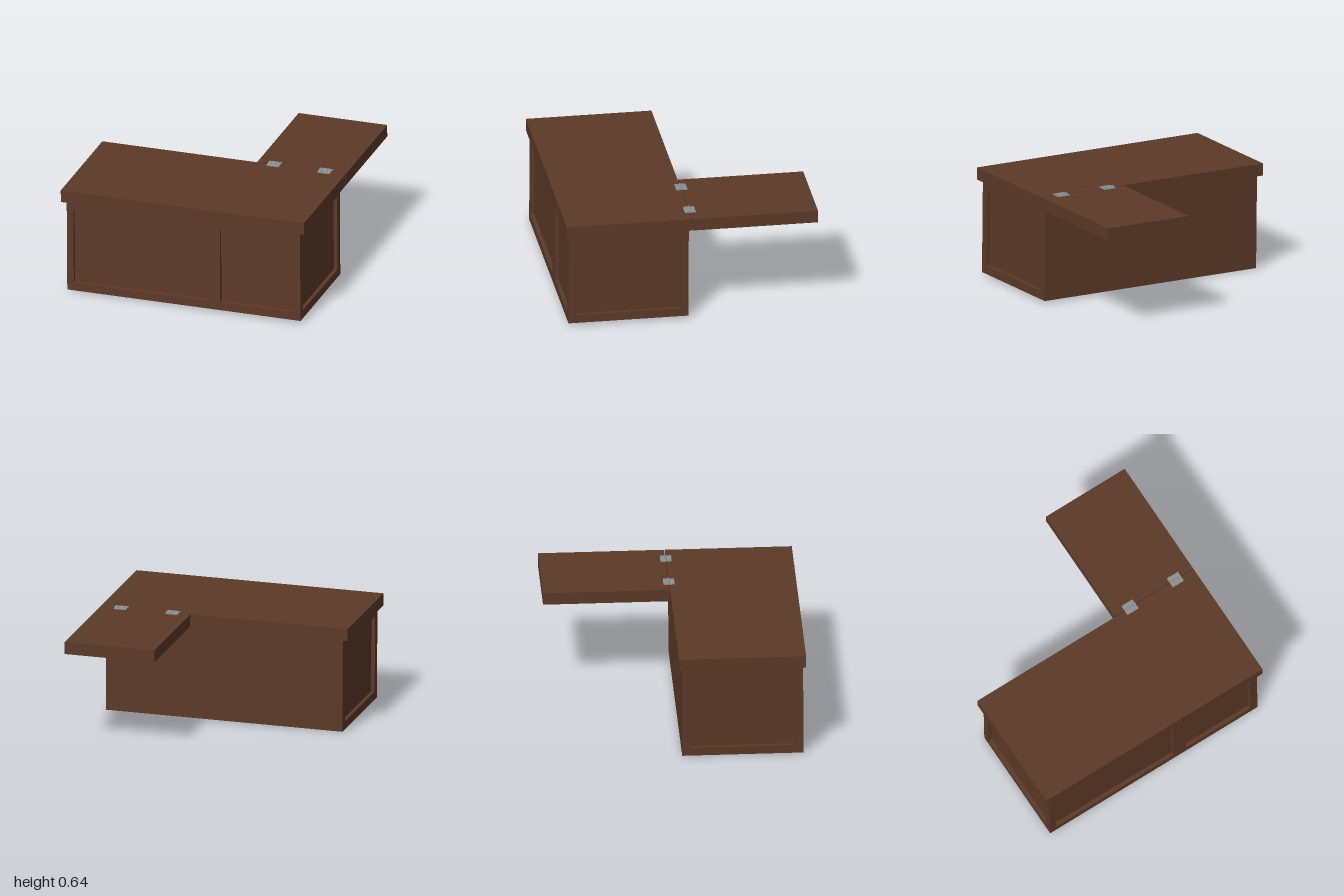
import * as THREE from 'three';

const wood = new THREE.MeshStandardMaterial({ color: 0x5c3a28 });
wood.name = 'brown wood';
const steel = new THREE.MeshStandardMaterial({ color: 0x8c9194 });
steel.name = 'grey steel';

// Cabinet half sizes, heights and panel recess depth
const HW = 0.347, HL = 0.705, BOTTOM = 0.0075, TOP = 0.557, RECESS = 0.022;
const SLAB = 0.072, SLAB_TOP = TOP + SLAB;

function add(parent, name, geometry, material, x = 0, y = 0, z = 0) {
  const mesh = new THREE.Mesh(geometry, material);
  mesh.name = name;
  mesh.position.set(x, y, z);
  parent.add(mesh);
  return mesh;
}

// Box given by its minimum and maximum corners
function block(parent, name, a, b, material = wood) {
  const size = a.map((v, i) => b[i] - v);
  const mid = a.map((v, i) => (v + b[i]) / 2);
  return add(parent, name, new THREE.BoxGeometry(...size), material, ...mid);
}

function rect(path, x0, x1, y0, y1) {
  path.moveTo(x0, y0);
  path.lineTo(x1, y0);
  path.lineTo(x1, y1);
  path.lineTo(x0, y1);
  path.closePath();
  return path;
}

// Panel frame with rectangular openings
function frame(halfWidth, openings) {
  const shape = rect(new THREE.Shape(), -halfWidth, halfWidth, BOTTOM, TOP);
  for (const [x0, x1] of openings) shape.holes.push(rect(new THREE.Path(), x0, x1, 0.057, 0.507));
  return new THREE.ExtrudeGeometry(shape, { depth: RECESS, bevelEnabled: false });
}

// Butt hinge: two leaves with screws around a knuckle barrel
function hinge(z) {
  const group = new THREE.Group();
  group.name = 'hinge';
  group.position.set(0.365, SLAB_TOP, z);
  for (const s of [-1, 1]) {
    add(group, 'hingeLeaf', new THREE.BoxGeometry(0.028, 0.005, 0.075), steel, s * 0.018, 0.0025, 0);
    for (const dz of [-0.022, 0.022])
      add(group, 'hingeScrew', new THREE.CylinderGeometry(0.005, 0.005, 0.002, 10), steel, s * 0.021, 0.006, dz);
  }
  for (const dz of [-0.026, 0, 0.026])
    add(group, 'hingeKnuckle', new THREE.CylinderGeometry(0.006, 0.006, 0.023, 12), steel, 0, 0.005, dz)
      .rotation.x = Math.PI / 2;
  return group;
}

export function createModel() {
  const model = new THREE.Group();
  model.name = 'cabinetWithFlap';
  model.rotation.x = -0.0095; // the whole piece leans very slightly

  const counter = new THREE.Group();
  counter.name = 'counter';
  counter.position.set(-0.315, 0, 0);
  counter.rotation.y = Math.PI / 6;
  model.add(counter);

  // Cabinet core, with panel frames on both ends and one long side
  block(counter, 'cabinetBody', [-HW + RECESS, BOTTOM, -HL + RECESS], [HW, TOP, HL - RECESS]);
  const endFrame = frame(HW, [[-0.3, 0.3]]);
  add(counter, 'frontEndFrame', endFrame, wood, 0, 0, HL - RECESS);
  add(counter, 'backEndFrame', endFrame, wood, 0, 0, -HL);
  const sideFrame = frame(HL - RECESS, [[-0.665, 0.135], [0.22, 0.655]]);
  add(counter, 'sideFrame', sideFrame, wood, -HW + RECESS, 0, 0).rotation.y = -Math.PI / 2;

  // Worktop and hinged extension
  block(counter, 'worktop', [-0.363, TOP, -0.735], [0.363, SLAB_TOP, 0.735]);
  block(counter, 'flap', [0.367, TOP, 0.2], [1.09, SLAB_TOP, 0.735]);
  for (const z of [0.304, 0.612]) counter.add(hinge(z));

  return model;
}
